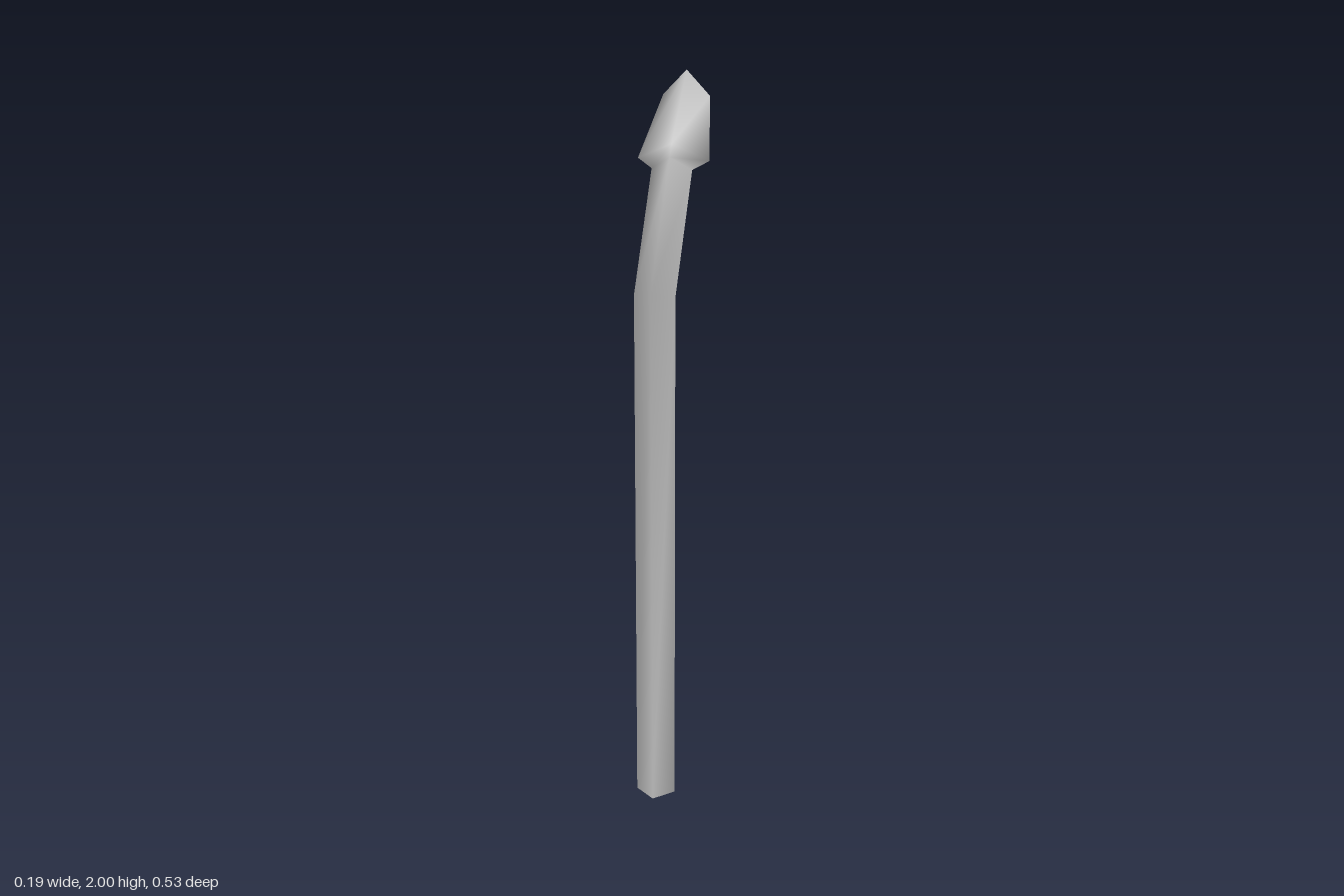
import * as THREE from 'three';

// Triangular stations from foot to tip: half width, rear corner [y, z], front ridge [y, z]
const stations = [
  { w: 0.055, corner: [0, 0.21], ridge: [0, 0.258] },
  { w: 0.055, corner: [1.505, 0.206], ridge: [1.525, 0.264] },
  { w: 0.055, corner: [1.78, -0.04], ridge: [1.82, -0.008] },
  { w: 0.097, corner: [1.8, -0.065], ridge: [1.85, -0.035] },
  { w: 0.065, corner: [1.93, -0.262], ridge: [2.0, -0.262] },
];

// Quads joining each ring of three points to the next, from one station to another
function loftIndex(from, to) {
  const index = [];
  for (let s = from; s < to; s++) {
    for (let i = 0; i < 3; i++) {
      const a = s * 3 + i;
      const b = s * 3 + (i + 1) % 3;
      index.push(a, b, b + 3, a, b + 3, a + 3);
    }
  }
  return index;
}

export function createModel() {
  const group = new THREE.Group();
  group.name = 'streetLamp';
  const material = new THREE.MeshStandardMaterial({ color: 0xcccccc, side: THREE.DoubleSide });

  // One continuous open-ended shell, so shading flows across the joints
  const points = stations.flatMap(({ w, corner, ridge }) => [-w, ...corner, 0, ...ridge, w, ...corner]);
  const shell = new THREE.BufferGeometry();
  shell.setAttribute('position', new THREE.Float32BufferAttribute(points, 3));
  shell.setIndex(loftIndex(0, stations.length - 1));
  shell.computeVertexNormals();

  // Each part takes its own stretch of the shell
  const parts = { post: [0, 1], arm: [1, 2], lampHead: [2, 4] };
  for (const [name, [from, to]] of Object.entries(parts)) {
    const geometry = shell.clone().setIndex(loftIndex(from, to));
    const mesh = new THREE.Mesh(geometry, material);
    mesh.name = name;
    group.add(mesh);
  }
  return group;
}
